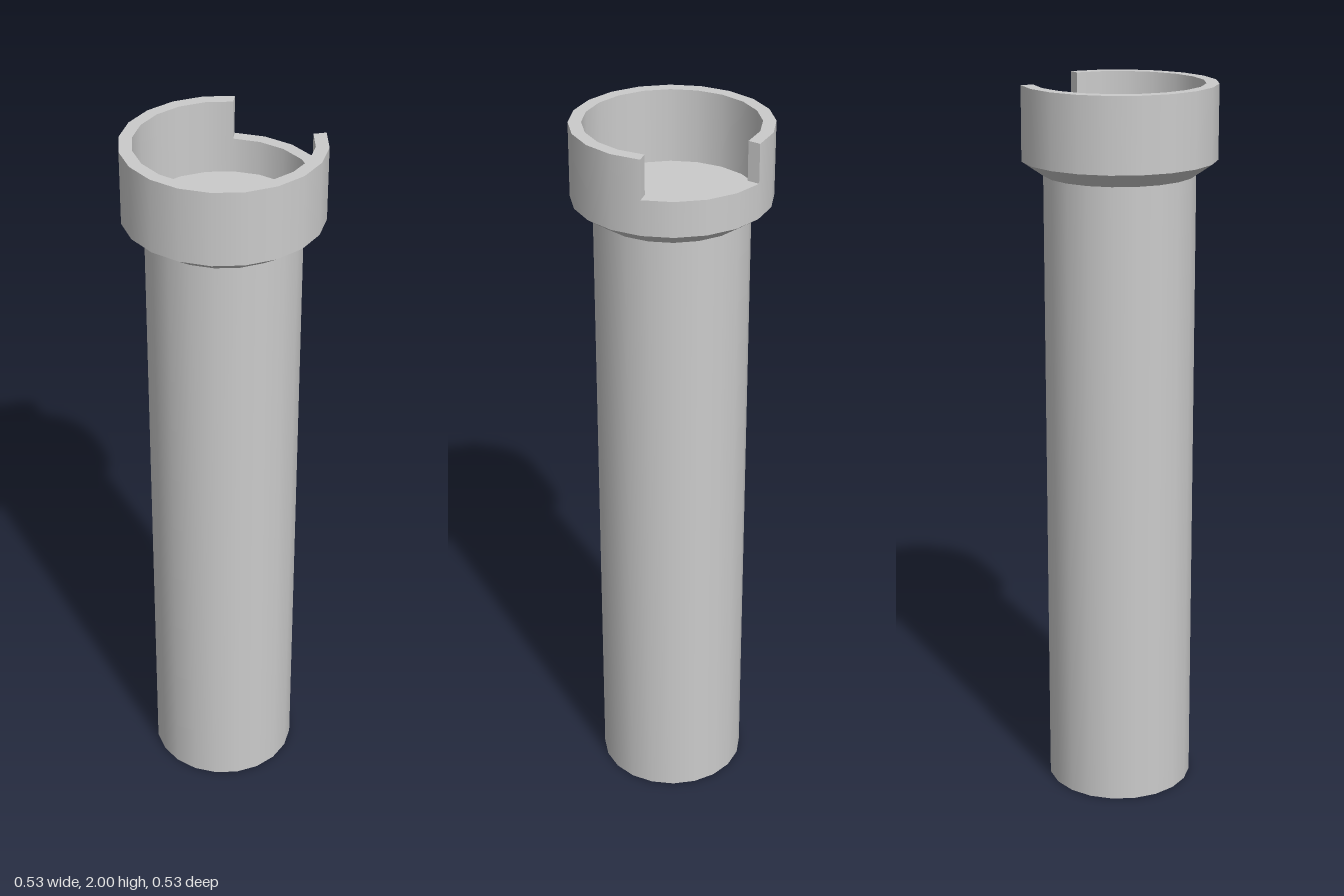
import * as THREE from 'three';
import { mergeGeometries } from 'three/addons/utils/BufferGeometryUtils.js';

const SIDES = 20;
const STEP = (Math.PI * 2) / SIDES;
const TUBE_R = 0.205, OUTER_R = 0.263, INNER_R = 0.229;
const CONE_Y = 1.76, COLLAR_Y = 1.8, NOTCH_Y = 1.895, TOP_Y = 2;

// One smooth band of revolution between two [radius, y] points; separate bands keep creases sharp
function band(a, b, first = 0, count = SIDES) {
  const points = [new THREE.Vector2(...a), new THREE.Vector2(...b)];
  return new THREE.LatheGeometry(points, count, first * STEP, count * STEP);
}

// Arc of the collar wall: outside, rim and inside
function wallArc(top, first, count) {
  return [
    band([OUTER_R, COLLAR_Y], [OUTER_R, top], first, count),
    band([OUTER_R, top], [INNER_R, top], first, count),
    band([INNER_R, top], [INNER_R, COLLAR_Y], first, count),
  ];
}

// Flat upright face at one end of the notch
function notchEnd(index, turn) {
  const phi = index * STEP, r = (OUTER_R + INNER_R) / 2;
  const g = new THREE.PlaneGeometry(OUTER_R - INNER_R, TOP_Y - NOTCH_Y);
  g.rotateY(phi + turn * Math.PI / 2);
  g.translate(r * Math.sin(phi), (TOP_Y + NOTCH_Y) / 2, r * Math.cos(phi));
  return g;
}

export function createModel() {
  const group = new THREE.Group();
  const material = new THREE.MeshStandardMaterial({ color: 0xcccccc, side: THREE.DoubleSide });
  const add = (name, geometry) => {
    const mesh = new THREE.Mesh(geometry, material);
    mesh.name = name;
    group.add(mesh);
  };

  // Thin tube, open at the bottom
  add('tube', band([TUBE_R, 0], [TUBE_R, CONE_Y]));

  // Flare from the tube out to the collar
  add('flare', band([TUBE_R, CONE_Y], [OUTER_R, COLLAR_Y]));

  // Collar with a four-sided notch centred on +x
  add('collar', mergeGeometries([
    ...wallArc(TOP_Y, 7, SIDES - 4),
    ...wallArc(NOTCH_Y, 3, 4),
    notchEnd(3, 1),
    notchEnd(7, -1),
  ]));

  // Floor of the cup
  add('cupFloor', band([INNER_R, COLLAR_Y], [0, COLLAR_Y]));

  return group;
}
